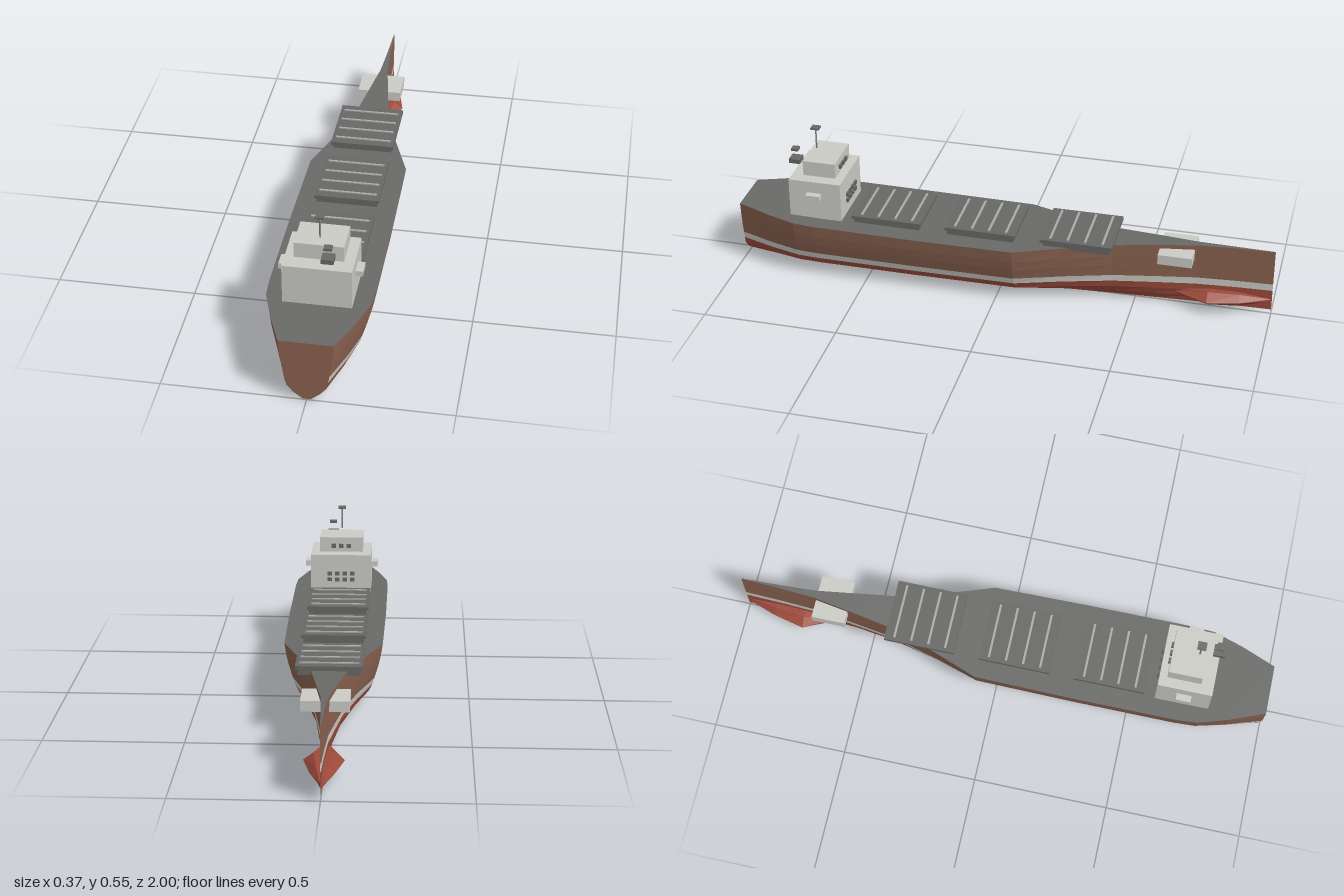
import * as THREE from 'three';

const paint = (name, color, extra = {}) => {
  const m = new THREE.MeshStandardMaterial({ color, flatShading: true, ...extra });
  m.name = name;
  return m;
};

// Hull stations from stern to bow: z, deck half width, keel y, deck y
const STATIONS = [
  [1, 0.093, 0.006, 0.243], [0.87, 0.145, 0.004, 0.241], [0.76, 0.18, 0.003, 0.239],
  [0.68, 0.185, 0.003, 0.237], [0.3, 0.185, 0.003, 0.234], [-0.07, 0.18, 0.003, 0.233],
  [-0.24, 0.118, 0.006, 0.238], [-0.42, 0.063, 0.009, 0.246], [-0.57, 0.038, 0.012, 0.254],
  [-0.72, 0.014, 0.015, 0.26], [-0.86, 0.006, 0.018, 0.263], [-1, 0.001, 0.02, 0.264],
];
// Section levels: height fraction, width fraction
const LEVELS = [
  [0, 0.14], [0.11, 0.49], [0.22, 0.72], [0.33, 0.79], [0.44, 0.835],
  [0.62, 0.905], [0.8, 0.96], [1, 1],
];

const hullPoint = ([z, w, y0, y1], [h, f], side) => [side * w * f, y0 + (y1 - y0) * h, z];

function quadGeometry(quads) {
  const pos = [];
  for (const [a, b, c, d] of quads) pos.push(...a, ...b, ...c, ...a, ...c, ...d);
  const g = new THREE.BufferGeometry();
  g.setAttribute('position', new THREE.Float32BufferAttribute(pos, 3));
  g.computeVertexNormals();
  return g;
}

// Both sides of the hull between two section levels
function hullBand(from, to) {
  const quads = [];
  for (const side of [1, -1]) {
    for (let i = 0; i < STATIONS.length - 1; i++) {
      for (let j = from; j < to; j++) {
        const q = [
          hullPoint(STATIONS[i], LEVELS[j], side), hullPoint(STATIONS[i + 1], LEVELS[j], side),
          hullPoint(STATIONS[i + 1], LEVELS[j + 1], side), hullPoint(STATIONS[i], LEVELS[j + 1], side),
        ];
        quads.push(side > 0 ? q : q.reverse());
      }
    }
  }
  return quadGeometry(quads);
}

// Flat stern plate
function transomGeometry() {
  const s = STATIONS[0];
  return quadGeometry(LEVELS.slice(1).map((top, j) => [
    hullPoint(s, LEVELS[j], -1), hullPoint(s, LEVELS[j], 1), hullPoint(s, top, 1), hullPoint(s, top, -1),
  ]));
}

function deckGeometry() {
  const top = LEVELS[LEVELS.length - 1];
  return quadGeometry(STATIONS.slice(1).map((s, i) => [
    hullPoint(STATIONS[i], top, 1), hullPoint(s, top, 1), hullPoint(s, top, -1), hullPoint(STATIONS[i], top, -1),
  ]));
}

// Faceted bulb lofted from six-sided rings: z, half width, half height
function bulbGeometry() {
  const rings = [[-0.64, 0.01, 0.012], [-0.77, 0.07, 0.03], [-0.885, 0.043, 0.027], [-1, 0.001, 0.01]];
  const sides = 6;
  const at = ([z, w, h], k) => {
    const a = (k / sides) * Math.PI * 2;
    return [Math.cos(a) * w, 0.055 + Math.sin(a) * h, z];
  };
  const quads = [];
  for (let i = 0; i < rings.length - 1; i++) {
    for (let k = 0; k < sides; k++) {
      quads.push([at(rings[i], k), at(rings[i + 1], k), at(rings[i + 1], k + 1), at(rings[i], k + 1)]);
    }
  }
  return quadGeometry(quads);
}

export function createModel() {
  const ship = new THREE.Group();
  ship.name = 'cargoShip';

  const open = { side: THREE.DoubleSide };
  const brown = paint('hullBrown', 0x8a6250, open);
  const red = paint('bottomRed', 0x9c4a3b, open);
  const stripe = paint('stripeWhite', 0xcbcbc5, open);
  const deckGrey = paint('deckGrey', 0x696967, open);
  const white = paint('houseWhite', 0xcbcbc5);
  const dark = paint('fittingGrey', 0x676765);
  const ribGrey = paint('ribGrey', 0xaaaaa8);
  const steel = paint('mastSteel', 0x82858a);

  const add = (name, geometry, material, parent = ship) => {
    const mesh = new THREE.Mesh(geometry, material);
    mesh.name = name;
    parent.add(mesh);
    return mesh;
  };
  // Box given by its extents
  const box = (name, mat, [x0, x1], [y0, y1], [z0, z1], parent) => {
    const m = add(name, new THREE.BoxGeometry(x1 - x0, y1 - y0, z1 - z0), mat, parent);
    m.position.set((x0 + x1) / 2, (y0 + y1) / 2, (z0 + z1) / 2);
    return m;
  };

  // Hull
  add('hullBottom', hullBand(0, 3), red);
  add('waterlineStripe', hullBand(3, 4), stripe);
  add('hullSides', hullBand(4, 7), brown);
  add('transom', transomGeometry(), brown);
  add('deck', deckGeometry(), deckGrey);
  add('bowBulb', bulbGeometry(), red);

  // Cargo hatches with cross ribs
  for (const z of [0.42, 0.064, -0.293]) {
    const hatch = new THREE.Group();
    hatch.name = 'cargoHatch';
    hatch.position.z = z;
    ship.add(hatch);
    box('hatchCoaming', dark, [-0.11, 0.11], [0.23, 0.252], [-0.124, 0.124], hatch);
    box('hatchCover', dark, [-0.118, 0.118], [0.252, 0.265], [-0.132, 0.132], hatch);
    for (let i = 0; i < 4; i++) {
      const rz = (i - 1.5) * 0.064;
      box('hatchRib', ribGrey, [-0.105, 0.105], [0.265, 0.269], [rz - 0.004, rz + 0.004], hatch);
    }
  }

  // Deckhouse and bridge
  box('deckhouse', white, [-0.119, 0.119], [0.232, 0.388], [0.592, 0.79]);
  box('bridge', white, [-0.085, 0.085], [0.395, 0.453], [0.62, 0.743]);

  // Forward-facing windows
  for (const y of [0.289, 0.313]) {
    for (let i = 0; i < 4; i++) {
      const x = (i - 1.5) * 0.03;
      box('deckhouseWindow', dark, [x - 0.009, x + 0.009], [y - 0.007, y + 0.007], [0.584, 0.593]);
    }
  }
  for (const x of [-0.03, 0, 0.03]) {
    box('bridgeWindow', dark, [x - 0.009, x + 0.009], [0.412, 0.427], [0.612, 0.621]);
  }

  // Bridge wings and bow boxes on both sides
  for (const s of [-1, 1]) {
    const span = (a, b) => (s > 0 ? [a, b] : [-b, -a]);
    box('bridgeWing', white, span(0.115, 0.144), [0.323, 0.343], [0.665, 0.72]);
    box('bowBox', white, span(0.012, 0.083), [0.203, 0.241], [-0.712, -0.587]);
  }

  // Mast with its top plate
  const mast = add('mast', new THREE.CylinderGeometry(0.003, 0.003, 0.086, 8), steel);
  mast.position.set(0, 0.51, 0.716);
  box('mastPlate', dark, [-0.015, 0.015], [0.549, 0.555], [0.7, 0.732]);

  // Aft stack pieces
  box('stackBase', dark, [0.017, 0.06], [0.424, 0.441], [0.764, 0.806]);
  box('stackCap', dark, [0.025, 0.053], [0.472, 0.481], [0.772, 0.798]);

  return ship;
}
